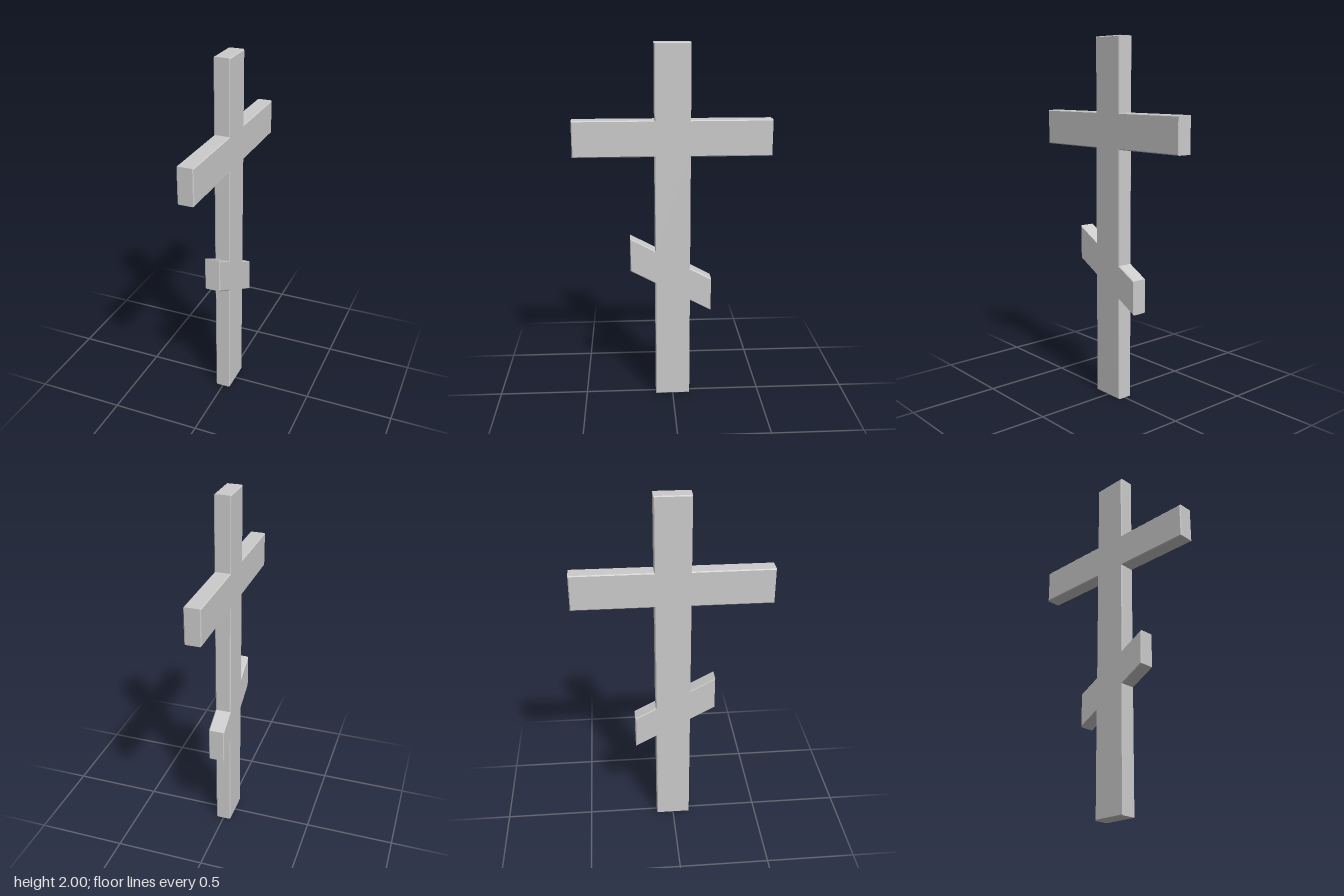
import * as THREE from 'three';

const POST = 0.097;      // half width of the post along z
const HALF = 0.044;      // half thickness along x
const BEVEL = 0.005;     // small chamfer on both broad faces

// Top edge height of the slanted footrest at a given z
const slant = (z) => 0.825 + z * 0.54;
const FOOT_H = 0.19;

export function createModel() {
  const group = new THREE.Group();
  group.name = 'cross';

  // Outline in (z, y): post, crossbar and slanted footrest in one piece
  const front = 0.235, back = -0.215, arm = 0.535;
  const outline = [
    [-POST, 0], [POST, 0],
    [POST, slant(POST) - FOOT_H], [front, slant(front) - FOOT_H],
    [front, slant(front)], [POST, slant(POST)],
    [POST, 1.405], [arm, 1.405], [arm, 1.6], [POST, 1.6],
    [POST, 2], [-POST, 2],
    [-POST, 1.6], [-arm, 1.6], [-arm, 1.405], [-POST, 1.405],
    [-POST, slant(-POST)], [back, slant(back)],
    [back, slant(back) - FOOT_H], [-POST, slant(-POST) - FOOT_H],
  ];
  const shape = new THREE.Shape(outline.map(([z, y]) => new THREE.Vector2(z, y)));

  // Extrude through the thickness and turn the outline into the z-y plane
  const depth = 2 * (HALF - BEVEL);
  const geometry = new THREE.ExtrudeGeometry(shape, {
    depth,
    bevelEnabled: true,
    bevelSegments: 1,
    bevelSize: BEVEL,
    bevelThickness: BEVEL,
    bevelOffset: -BEVEL,
  });
  geometry.translate(0, 0, -depth / 2);
  geometry.rotateY(-Math.PI / 2);

  const body = new THREE.Mesh(
    geometry,
    new THREE.MeshStandardMaterial({ color: 0xcccccc, flatShading: true })
  );
  body.name = 'postWithCrossbarAndFootrest';
  group.add(body);
  return group;
}
